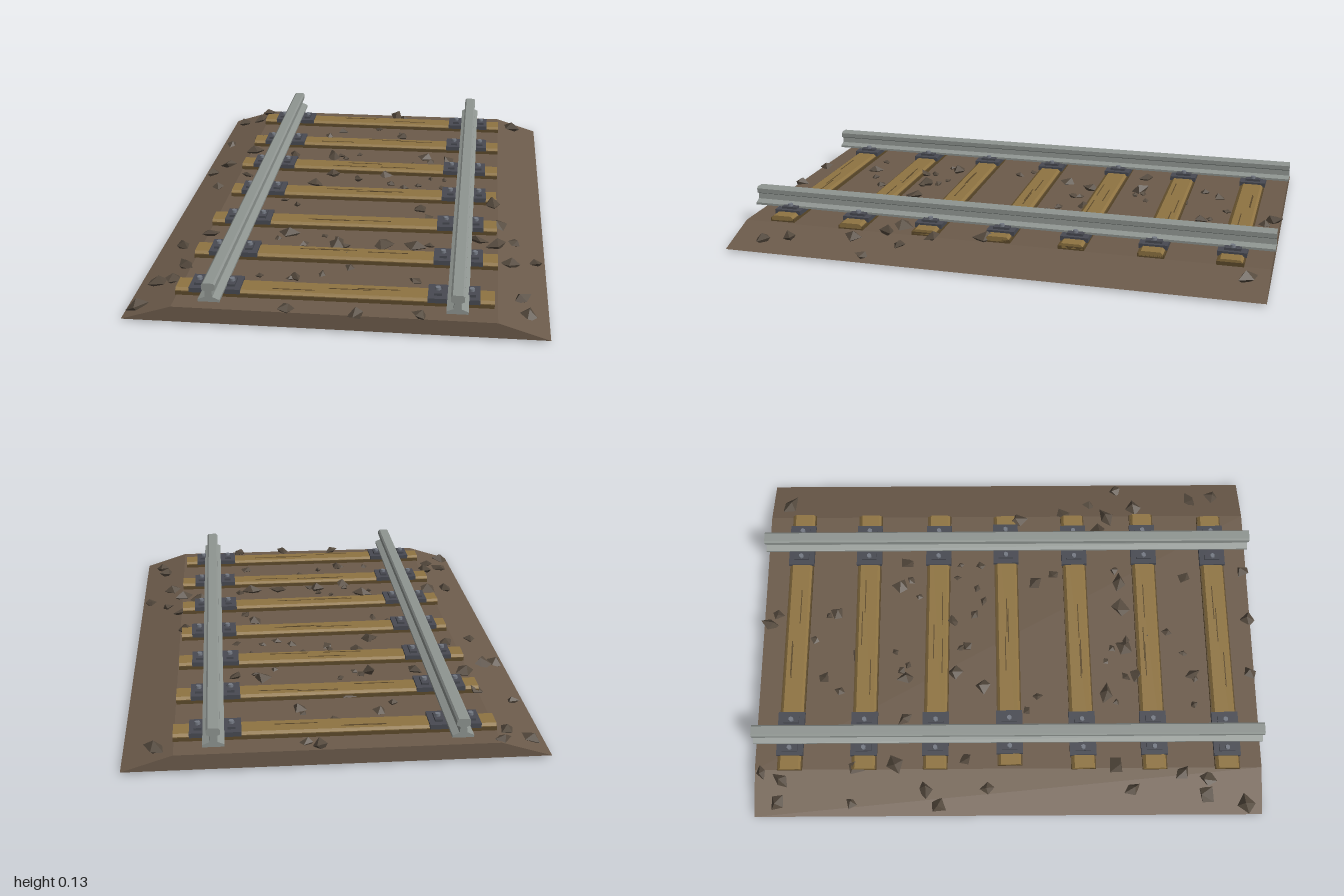
import * as THREE from 'three';

const mat = (name, color) => {
  const m = new THREE.MeshStandardMaterial({ color });
  m.name = name;
  return m;
};

// Symmetric section given as its right half, bottom to top, extruded along x
function bar(half, length) {
  const pts = [...half, ...half.slice().reverse().map(([a, y]) => [-a, y])];
  const shape = new THREE.Shape(pts.map(([a, y]) => new THREE.Vector2(a, y)));
  const geo = new THREE.ExtrudeGeometry(shape, { depth: length, bevelEnabled: false });
  geo.translate(0, 0, -length / 2);
  geo.rotateY(Math.PI / 2);
  return geo;
}

function seeded(seed) {
  return () => {
    seed = (seed * 16807) % 2147483647;
    return seed / 2147483647;
  };
}

export function createModel() {
  const earth = mat('earth', 0x6c5b4b);
  const wood = mat('wood', 0x8f7442);
  const darkWood = mat('dark wood', 0x5e4b2c);
  const steel = mat('rail steel', 0x8f9591);
  const iron = mat('plate iron', 0x484a52);
  const bolt = mat('bolt steel', 0x747983);
  const stone = mat('stone', 0x554a3e);
  stone.flatShading = true;

  const model = new THREE.Group();
  model.name = 'railTrack';
  const track = new THREE.Group();
  track.name = 'track';
  track.rotation.y = Math.PI / 4; // track runs diagonally
  model.add(track);

  const add = (parent, name, geo, material, x = 0, y = 0, z = 0) => {
    const mesh = new THREE.Mesh(geo, material);
    mesh.name = name;
    mesh.position.set(x, y, z);
    parent.add(mesh);
    return mesh;
  };
  const rand = seeded(4711);
  const spread = (s) => (rand() - 0.5) * 2 * s;

  // Ballast bed with sloping shoulders
  const bedHalf = 0.594, topHalf = 0.45, bedTop = 0.046;
  add(track, 'ballastBed', bar([[bedHalf, 0], [topHalf, bedTop]], 1.64), earth);

  // Rails: foot, web and head in one section
  const railGeo = bar([
    [0.03, 0.07], [0.03, 0.077], [0.011, 0.085], [0.009, 0.102],
    [0.019, 0.107], [0.019, 0.121], [0.014, 0.126],
  ], 1.65);
  for (const side of [-1, 1]) add(track, 'rail', railGeo, steel, 0, 0, side * 0.34);

  // Sleepers with tie plates, bolts and clips
  const plankGeo = bar([[0.036, 0.05], [0.036, 0.058], [0.029, 0.065]], 1);
  const baseGeo = new THREE.BoxGeometry(1, 0.014, 0.08);
  const plateGeo = new THREE.BoxGeometry(0.086, 0.014, 0.145);
  const clipGeo = new THREE.BoxGeometry(0.05, 0.008, 0.022);
  const boltGeo = new THREE.CylinderGeometry(0.008, 0.009, 0.01, 6);
  const grainGeo = new THREE.BoxGeometry(0.12, 0.002, 0.003);
  for (let i = 0; i < 7; i++) {
    const sleeper = new THREE.Group();
    sleeper.name = 'sleeper';
    sleeper.position.set(-0.705 + i * 0.235, 0, spread(0.008));
    sleeper.rotation.y = spread(0.025);
    track.add(sleeper);
    const length = 0.89 + spread(0.015);
    for (const [name, geo, m, y] of [
      ['sleeperPlank', plankGeo, wood, 0], ['sleeperBase', baseGeo, darkWood, 0.05]]) {
      const mesh = add(sleeper, name, geo, m, 0, y, 0);
      mesh.rotation.y = Math.PI / 2;
      mesh.scale.x = length;
    }
    for (let g = 0; g < 3; g++) {
      add(sleeper, 'woodGrain', grainGeo, darkWood, spread(0.02), 0.065, spread(0.17))
        .rotation.y = Math.PI / 2;
    }
    for (const side of [-1, 1]) {
      add(sleeper, 'tiePlate', plateGeo, iron, 0, 0.064, side * 0.335);
      for (const edge of [-1, 1]) {
        const z = side * 0.337 + edge * 0.047;
        add(sleeper, 'railClip', clipGeo, iron, 0, 0.074, z);
        add(sleeper, 'bolt', boltGeo, bolt, 0, 0.081, z);
      }
    }
  }

  // Loose stones: irregular octahedra
  const stoneGeos = [0, 1, 2, 3].map(() => {
    const geo = new THREE.OctahedronGeometry(1, 0);
    const p = geo.attributes.position;
    const moved = new Map();
    for (let i = 0; i < p.count; i++) {
      const key = [p.getX(i), p.getY(i), p.getZ(i)].map((n) => Math.round(n)).join();
      if (!moved.has(key)) moved.set(key, [spread(0.3), spread(0.2), spread(0.3)]);
      const d = moved.get(key);
      p.setXYZ(i, p.getX(i) + d[0], p.getY(i) + d[1], p.getZ(i) + d[2]);
    }
    geo.computeVertexNormals();
    return geo;
  });
  const addStone = (x, z, size) => {
    const across = Math.abs(x + z) / Math.SQRT2;
    const ground = bedTop * Math.min(1, (bedHalf - across) / (bedHalf - topHalf));
    const mesh = add(model, 'stone', stoneGeos[Math.floor(rand() * 4)], stone,
      x, ground + size * 0.15, z);
    mesh.scale.set(size, size * 0.6, size * 0.9);
    mesh.rotation.set(spread(0.3), rand() * 6.28, spread(0.3));
  };
  // Stone places as x, z in hundredths
  const places = [
    14, -92, 24, -89, 4, -66, -3, -75, 18, -86, -24, -56, -17, -55, -31, -41, -20, -39,
    60, -53, 61, -49, 33, -53, 14, -34, 30, -39, 89, -18, 39, -12, 43, -5, 17, -9,
    4, -21, 4, -44, -5, -57, -6, -18, -65, -8, -56, -6, -83, 7, -80, 11, -94, 15,
    -73, 7, -53, 34, -30, 25, -37, 9, -40, 21, -34, 33, -20, 34, -66, 48, -40, 74,
    -13, 41, 7, 21, 28, 33, 18, 46, 15, 56, 7, 56, 3, 66, 13, 67, -9, 82, -13, 89,
    5, 50, -13, -11, 47, -34, 65, -36, -28, 58, -53, 62,
  ];
  for (let i = 0; i < places.length; i += 2) {
    addStone(places[i] / 100, places[i + 1] / 100, 0.023 + rand() * 0.011);
  }
  // Small chips between the rails
  for (let i = 0; i < 30; i++) {
    const u = -0.705 + 0.235 * (Math.floor(rand() * 6) + 0.5) + spread(0.06);
    const v = spread(0.28);
    addStone((u + v) / Math.SQRT2, (v - u) / Math.SQRT2, 0.012 + rand() * 0.009);
  }
  return model;
}
